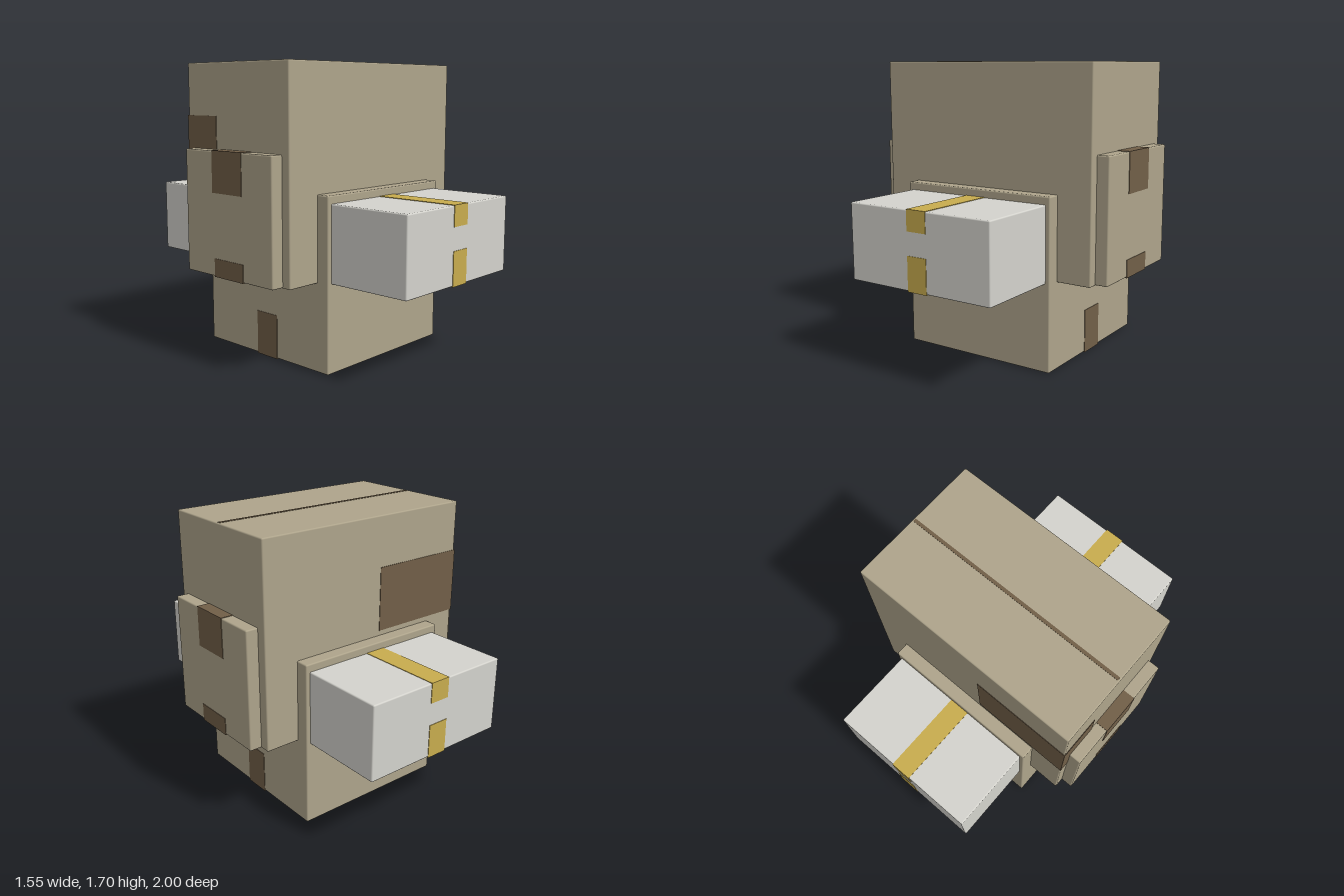
import * as THREE from 'three';
import { RoundedBoxGeometry } from 'three/addons/geometries/RoundedBoxGeometry.js';

const material = (name, color) => {
  const m = new THREE.MeshStandardMaterial({ color });
  m.name = name;
  return m;
};

export function createModel() {
  const cardboard = material('cardboard', 0xaea48b);
  const whiteCard = material('white card', 0xd4d3cd);
  const brownTape = material('brown tape', 0x715f48);
  const yellowTape = material('yellow tape', 0xc8ac4e);
  const T = 0.003; // how far tape stands proud of a face

  // Box given by its extents on each axis; softened edges if a radius is given
  function block(parent, name, mat, [x0, x1], [y0, y1], [z0, z1], radius = 0) {
    const size = [x1 - x0, y1 - y0, z1 - z0];
    const geo = radius ? new RoundedBoxGeometry(...size, 2, radius) : new THREE.BoxGeometry(...size);
    const mesh = new THREE.Mesh(geo, mat);
    mesh.name = name;
    mesh.position.set((x0 + x1) / 2, (y0 + y1) / 2, (z0 + z1) / 2);
    parent.add(mesh);
  }
  const span = (s, a, b) => (s > 0 ? [a, b] : [-b, -a]);

  const model = new THREE.Group();
  model.name = 'boxStack';

  // Upper carton with its lid seam
  const upper = new THREE.Group();
  upper.name = 'upperCarton';
  block(upper, 'upperBox', cardboard, [-0.7, 0.7], [0.505, 1.697], [-0.415, 0.415], 0.008);
  block(upper, 'lidSeam', brownTape, [-0.69, 0.69], [1.692, 1.699], [-0.015, 0.005]);
  // Wide tape patch wrapped around one rear corner
  block(upper, 'rearPatch', brownTape, [-0.7 - T, -0.1], [1.02, 1.4], [-0.415 - T, -0.411]);
  block(upper, 'rearPatchSide', brownTape, [-0.7 - T, -0.696], [1.02, 1.4], [-0.415 - T, -0.165]);
  model.add(upper);

  // Lower carton, taped underneath and up both sides
  const lower = new THREE.Group();
  lower.name = 'lowerCarton';
  block(lower, 'lowerBox', cardboard, [-0.493, 0.493], [T, 0.99], [-0.493, 0.493], 0.008);
  block(lower, 'bottomTape', brownTape, [-0.493 - T, 0.493 + T], [0, 0.006], [-0.07, 0.095]);
  for (const s of [1, -1])
    block(lower, 'sideTape', brownTape, span(s, 0.489, 0.493 + T), [0, 0.26], [-0.07, 0.095]);
  model.add(lower);

  // Shallow cartons on the left and right
  for (const s of [1, -1]) {
    const side = new THREE.Group();
    side.name = s > 0 ? 'leftCarton' : 'rightCarton';
    block(side, 'sideBox', cardboard, span(s, 0.64, 0.773), [0.508, 1.213], [-0.355, 0.36], 0.008);
    const face = span(s, 0.769, 0.773 + T);
    const edge = span(s, 0.7, 0.773 + T);
    block(side, 'upperTape', brownTape, face, [0.98, 1.213 + T], [-0.12, 0.125]);
    block(side, 'topTape', brownTape, edge, [1.209, 1.213 + T], [-0.12, 0.125]);
    block(side, 'lowerTape', brownTape, face, [0.508 - T, 0.61], [-0.11, 0.13]);
    block(side, 'bottomTape', brownTape, edge, [0.508 - T, 0.512], [-0.11, 0.13]);
    model.add(side);
  }

  // White parcels projecting to the front and back
  for (const s of [1, -1]) {
    const parcel = new THREE.Group();
    parcel.name = s > 0 ? 'frontParcel' : 'backParcel';
    block(parcel, 'parcelBox', whiteCard, [-0.467, 0.467], [0.508, 0.945], span(s, 0.47, 0.997), 0.008);
    const tapeX = [-0.064, 0.062];
    const end = span(s, 0.993, 0.997 + T);
    const run = span(s, 0.493, 0.997 + T);
    block(parcel, 'topTape', yellowTape, tapeX, [0.941, 0.945 + T], run);
    block(parcel, 'upperEndTape', yellowTape, tapeX, [0.83, 0.945 + T], end);
    block(parcel, 'lowerEndTape', yellowTape, tapeX, [0.508 - T, 0.7], end);
    block(parcel, 'bottomTape', yellowTape, tapeX, [0.508 - T, 0.512], run);
    model.add(parcel);
  }

  return model;
}
